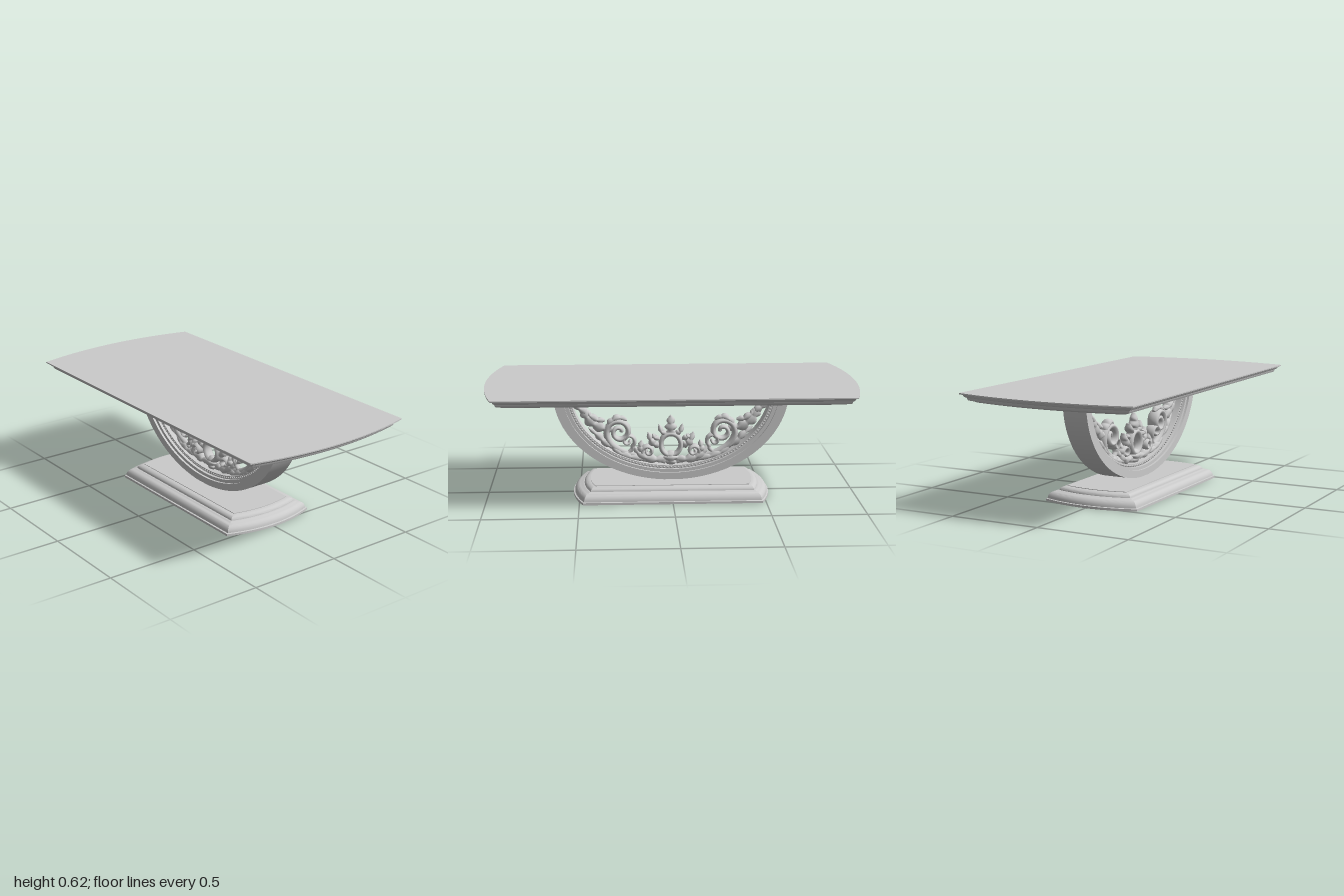
import * as THREE from 'three';
import { mergeGeometries, mergeVertices, toCreasedNormals } from 'three/addons/utils/BufferGeometryUtils.js';

const material = new THREE.MeshStandardMaterial({ color: 0xcccccc });

function add(group, name, geometry) {
  const mesh = new THREE.Mesh(geometry, material);
  mesh.name = name;
  group.add(mesh);
}

function indexed(pos, idx) {
  const g = new THREE.BufferGeometry();
  g.setAttribute('position', new THREE.Float32BufferAttribute(pos, 3));
  g.setIndex(idx);
  g.computeVertexNormals();
  return g;
}

// Moulded slab with straight long sides and bowed ends; profile rows are [inset, y] from bottom to top.
function mouldedSlab(halfX, halfZ, bow, profile) {
  const R = (halfZ * halfZ + bow * bow) / (2 * bow), cx = halfX - R, n = 24, row = 2 * (n + 1);
  const pos = [], idx = [];
  for (const [d, y] of profile) {
    for (const s of [1, -1]) {
      for (let i = 0; i <= n; i++) {
        const z = s * (halfZ - d) * (1 - 2 * i / n);
        pos.push(s * (cx + Math.sqrt((R - d) ** 2 - z * z)), y, z);
      }
    }
  }
  const last = (profile.length - 1) * row, c = profile.length * row;
  pos.push(0, profile[0][1], 0, 0, profile[profile.length - 1][1], 0);
  for (let j = 0; j < row; j++) {
    const k = (j + 1) % row;
    for (let r = 0; r < last; r += row) idx.push(r + j, r + k, r + row + j, r + k, r + row + k, r + row + j);
    idx.push(c, k, j, c + 1, last + j, last + k);
  }
  return toCreasedNormals(indexed(pos, idx), 0.5);
}

// Quarter-round hollow between two profile points
function cove(d0, y0, d1, y1) {
  return Array.from({ length: 7 }, (_, i) => {
    const a = i / 6 * Math.PI / 2;
    return [d0 + (d1 - d0) * Math.sin(a), y1 + (y0 - y1) * Math.cos(a)];
  });
}

// Lower half of an elliptical ring, hanging from the table top
const TOP = 0.57;
function archBand(a0, b0, a1, b1, depth) {
  const s = new THREE.Shape();
  s.absellipse(0, TOP, a0, b0, Math.PI, 2 * Math.PI, false);
  s.lineTo(a1, TOP);
  s.absellipse(0, TOP, a1, b1, 2 * Math.PI, Math.PI, true);
  s.closePath();
  const g = new THREE.ExtrudeGeometry(s, { depth, bevelEnabled: false, curveSegments: 64 });
  g.translate(0, 0, -depth / 2);
  g.deleteAttribute('uv');
  g.deleteAttribute('normal');
  return toCreasedNormals(mergeVertices(g), 0.5);
}

// Oval section swept along a path in the xy plane; width(t) returns [left, right] half widths.
function sweep(points, width, depth, steps = 40) {
  const curve = new THREE.CatmullRomCurve3(points.map(([x, y]) => new THREE.Vector3(x, y, 0)));
  const m = 10, pos = [], idx = [];
  for (let i = 0; i <= steps; i++) {
    const t = i / steps, p = curve.getPoint(t), T = curve.getTangent(t), [l, r] = width(t);
    const d = depth * (0.25 + 0.75 * Math.sin(Math.PI * Math.min(1, Math.max(0, t * 0.9 + 0.05))));
    for (let j = 0; j < m; j++) {
      const a = j / m * 2 * Math.PI, w = Math.cos(a) * (Math.cos(a) > 0 ? l : r);
      pos.push(p.x - T.y * w, p.y + T.x * w, d * Math.sin(a));
      if (i === steps) continue;
      const A = i * m + j, B = i * m + (j + 1) % m;
      idx.push(A, B, A + m, B, B + m, A + m);
    }
  }
  for (let j = 1; j < m - 1; j++) {
    const e = steps * m;
    idx.push(0, j + 1, j, e, e + j, e + j + 1);
  }
  return indexed(pos, idx);
}

const mirror = (pts, s) => pts.map(([x, y]) => [x * s, y]);

// Acanthus leaf with notched edges, tapering to its tip
function leaf(pts, w, lobes, depth = 0.028) {
  return sweep(pts, (t) => {
    const body = w * Math.pow(Math.sin(Math.PI * (0.1 + 0.88 * t)), 0.7);
    const h = body * (0.5 + 0.5 * Math.abs(Math.sin(lobes * Math.PI * t))) + 0.001;
    return [h, h];
  }, depth, 12 * lobes);
}

// Stem that thins towards the end
const stem = (pts, w0, w1, depth = 0.035) => sweep(pts, (t) => {
  const h = w0 + (w1 - w0) * t;
  return [h, h];
}, depth, 56);

function spiral(cx, cy, r0, r1, a0, turns) {
  return Array.from({ length: 19 }, (_, i) => {
    const t = i / 18, r = r0 + (r1 - r0) * t, a = a0 + turns * 2 * Math.PI * t;
    return [cx + r * Math.cos(a), cy + r * Math.sin(a)];
  });
}

export function createModel() {
  const model = new THREE.Group();

  // Table top
  add(model, 'tableTop', mouldedSlab(1, 0.49, 0.065, [
    [0.07, 0.567], ...cove(0.07, 0.57, 0.05, 0.578).reverse().map(([d, y]) => [0.12 - d, 1.148 - y]).reverse(),
    [0.036, 0.578], [0.032, 0.585], [0.03, 0.592],
    [0.024, 0.594], [0.018, 0.6], [0.014, 0.608], [0.004, 0.609], [0, 0.611], [0, 0.617],
  ]));

  // Plinth
  add(model, 'plinth', mouldedSlab(0.535, 0.272, 0.055, [
    [0, 0], [0, 0.012], ...cove(0.045, 0.052, 0.008, 0.014).reverse(),
    [0.05, 0.055], ...cove(0.094, 0.078, 0.06, 0.056).reverse(), [0.094, 0.081],
  ]));

  // Arched support with stepped inner moulding
  const arch = new THREE.Group();
  arch.name = 'arch';
  model.add(arch);
  add(arch, 'archBand', archBand(0.637, 0.49, 0.585, 0.452, 0.136));
  add(arch, 'archMiddleMoulding', archBand(0.587, 0.454, 0.565, 0.435, 0.112));
  add(arch, 'archInnerMoulding', archBand(0.567, 0.437, 0.547, 0.418, 0.08));

  // Rows of beads on both faces of the moulding
  const beads = [];
  for (const z of [-0.04, 0.04]) {
    for (let i = 1; i < 90; i++) {
      const a = Math.PI * (1 + i / 90);
      beads.push(new THREE.SphereGeometry(0.006, 6, 4).translate(0.557 * Math.cos(a), TOP + 0.428 * Math.sin(a), z));
    }
  }
  add(arch, 'beads', mergeGeometries(beads));

  // Carved centre: open oval ring and crowning palmette
  const carving = new THREE.Group();
  carving.name = 'carving';
  model.add(carving);
  const ring = new THREE.TorusGeometry(0.055, 0.014, 10, 36);
  ring.scale(1, 1.1, 2).translate(0, 0.262, 0);
  add(carving, 'centreRing', ring);
  add(carving, 'crownLeaf', leaf([[0, 0.31], [0, 0.36], [0, 0.425]], 0.034, 3));
  add(carving, 'bottomLeaf', leaf([[0, 0.225], [0, 0.19], [0, 0.14]], 0.045, 3, 0.036));

  // Carved scrolls and foliage, mirrored on each side
  const leaves = [
    [[[0.02, 0.32], [0.05, 0.335], [0.065, 0.375]], 0.016, 2],
    [[[0.06, 0.25], [0.1, 0.275], [0.125, 0.33]], 0.024, 3],
    [[[0.06, 0.29], [0.09, 0.305], [0.1, 0.32]], 0.016, 2],
    [[[0.02, 0.18], [0.1, 0.18], [0.17, 0.21], [0.2, 0.25]], 0.028, 4],
    [[[0.14, 0.2], [0.165, 0.24], [0.16, 0.285]], 0.022, 3],
    [[[0.1, 0.175], [0.2, 0.19], [0.29, 0.225], [0.35, 0.29]], 0.024, 5],
    [[[0.27, 0.23], [0.35, 0.27], [0.4, 0.32], [0.45, 0.36]], 0.022, 4],
    [[[0.31, 0.35], [0.38, 0.36], [0.44, 0.4], [0.475, 0.45], [0.5, 0.48]], 0.034, 5],
    [[[0.36, 0.4], [0.4, 0.405], [0.44, 0.43], [0.46, 0.46]], 0.02, 3],
    [[[0.43, 0.41], [0.47, 0.45], [0.515, 0.49], [0.525, 0.555]], 0.022, 4],
    [[[0.24, 0.4], [0.29, 0.415], [0.335, 0.385], [0.35, 0.34]], 0.02, 4],
  ];
  const stems = [
    [[[0.13, 0.18], [0.2, 0.2], [0.26, 0.22], [0.32, 0.26], ...spiral(0.283, 0.335, 0.072, 0.012, -0.5, 1.6)], 0.02, 0.01],
    [[[0.24, 0.21], [0.21, 0.24], ...spiral(0.235, 0.285, 0.04, 0.008, 4, -1.2)], 0.012, 0.008],
    [[[0.03, 0.165], [0.09, 0.18], ...spiral(0.125, 0.225, 0.036, 0.006, -1.2, 1.4)], 0.014, 0.008],
    [[[0.42, 0.39], [0.47, 0.43], [0.49, 0.48], ...spiral(0.51, 0.535, 0.026, 0.008, 3.6, -1.1)], 0.012, 0.007, 0.028],
  ];
  for (const s of [1, -1]) {
    const side = new THREE.Group();
    side.name = s > 0 ? 'leftScrollwork' : 'rightScrollwork';
    carving.add(side);
    for (const [pts, ...rest] of leaves) add(side, 'acanthusLeaf', leaf(mirror(pts, s), ...rest));
    for (const [pts, ...rest] of stems) add(side, 'scroll', stem(mirror(pts, s), ...rest));
  }
  return model;
}
